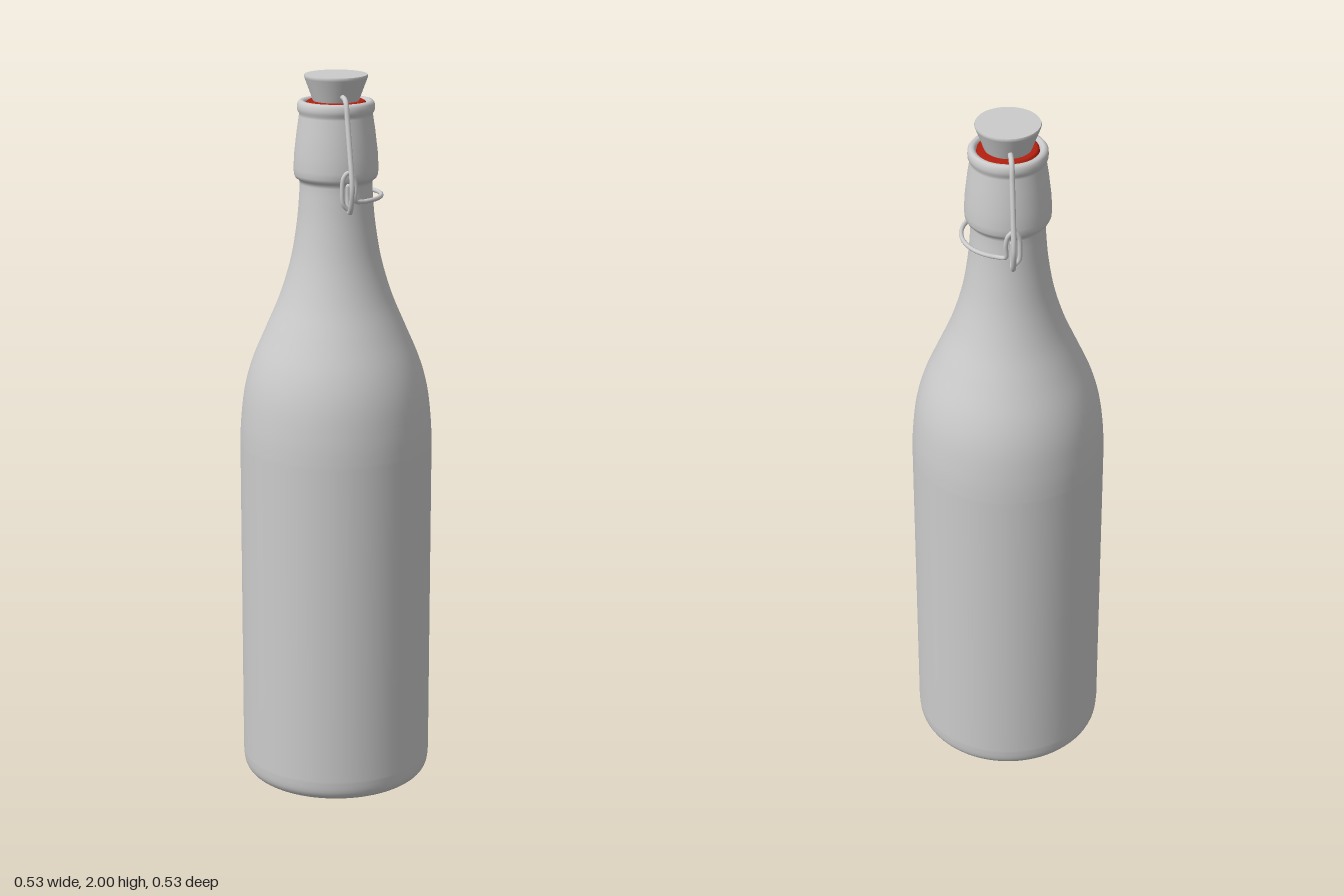
import * as THREE from 'three';

const grey = new THREE.MeshStandardMaterial({ color: 0xcccccc });
const red = new THREE.MeshStandardMaterial({ color: 0xb3200f });

const v2 = (pairs) => pairs.map(([r, y]) => new THREE.Vector2(r, y));
const smooth = (pairs, n) => new THREE.SplineCurve(v2(pairs)).getPoints(n);

function addMesh(parent, name, geometry, material = grey) {
  const mesh = new THREE.Mesh(geometry, material);
  mesh.name = name;
  parent.add(mesh);
  return mesh;
}

// Round wire with domed ends, following a smooth path
function addWire(parent, name, points, radius, segments) {
  const curve = new THREE.CatmullRomCurve3(points, false, 'centripetal');
  addMesh(parent, name, new THREE.TubeGeometry(curve, segments, radius, 10));
  for (const end of [points[0], points[points.length - 1]]) {
    addMesh(parent, name + 'End', new THREE.SphereGeometry(radius, 10, 8)).position.copy(end);
  }
}

export function createModel() {
  const model = new THREE.Group();
  model.name = 'swingTopBottle';

  // Glass: hollowed base, straight body, shoulder, neck, collar and open mouth
  const base = smooth([[0, 0.07], [0.07, 0.056], [0.13, 0.018], [0.17, 0.001], [0.2, 0.001],
    [0.24, 0.01], [0.26, 0.032], [0.265, 0.07]], 32);
  const shoulder = smooth([[0.265, 0.98], [0.262, 1.05], [0.251, 1.14], [0.229, 1.22], [0.191, 1.31],
    [0.153, 1.4], [0.123, 1.5], [0.106, 1.6], [0.099, 1.68], [0.098, 1.712]], 40);
  const collar = v2([[0.101, 1.719], [0.109, 1.724], [0.113, 1.733], [0.114, 1.75], [0.112, 1.79],
    [0.105, 1.85], [0.099, 1.89], [0.099, 1.897], [0.103, 1.903], [0.104, 1.912], [0.103, 1.923],
    [0.098, 1.93], [0.09, 1.931], [0.083, 1.926], [0.081, 1.915], [0.08, 1.72]]);
  const profile = [...base, ...v2([[0.265, 0.3], [0.265, 0.65]]), ...shoulder, ...collar];
  profile[0].x = 0;
  addMesh(model, 'bottle', new THREE.LatheGeometry(profile, 72));

  // Rubber seal sitting in the mouth
  addMesh(model, 'seal', new THREE.LatheGeometry(
    v2([[0, 1.9], [0.08, 1.9], [0.082, 1.915], [0.08, 1.926], [0.074, 1.93], [0, 1.93]]), 48), red);

  // Flared stopper with a slightly rounded top edge
  const stopper = new THREE.Group();
  stopper.name = 'stopper';
  model.add(stopper);
  addMesh(stopper, 'stopperSide', new THREE.LatheGeometry(
    v2([[0.06, 1.925], [0.064, 1.935], [0.069, 1.95], [0.084, 1.99], [0.0855, 1.995], [0.084, 1.999]]), 48));
  const cap = addMesh(stopper, 'stopperTop', new THREE.CircleGeometry(0.084, 48));
  cap.rotation.x = -Math.PI / 2;
  cap.position.y = 1.999;

  // Wire closure, turned a little around the neck
  const closure = new THREE.Group();
  closure.name = 'wireClosure';
  closure.rotation.y = -0.37;
  model.add(closure);

  // Bail: through the stopper, down both sides, hooked at the ends
  const side = [[0.06, 1.947, 0], [0.093, 1.943, 0], [0.106, 1.93, 0], [0.118, 1.89, 0],
    [0.143, 1.81, 0], [0.164, 1.735, 0], [0.165, 1.705, 0], [0.152, 1.665, 0], [0.14, 1.652, 0],
    [0.128, 1.662, 0], [0.124, 1.69, 0], [0.126, 1.72, 0]];
  const half = (list, s) => list.map(([x, y, z]) => new THREE.Vector3(s * x, y, z));
  addWire(closure, 'bail', [...half(side, -1).reverse(), ...half(side, 1)], 0.007, 160);

  // Neck wire: an open ring behind the neck with an upright eyelet at each end
  const eyelet = [[0.13, 1.682, -0.018], [0.134, 1.72, -0.018], [0.135, 1.747, -0.012],
    [0.135, 1.758, 0.002], [0.135, 1.745, 0.015], [0.135, 1.71, 0.019], [0.135, 1.675, 0.016],
    [0.134, 1.66, 0.004]];
  const ring = [];
  for (let i = 0; i <= 16; i++) {
    const a = 0.36 + (Math.PI - 0.72) * i / 16;
    ring.push(new THREE.Vector3(-0.122 * Math.cos(a), 1.675, -0.122 * Math.sin(a)));
  }
  addWire(closure, 'neckWire', [...half(eyelet, -1).reverse(), ...ring, ...half(eyelet, 1)], 0.006, 180);

  return model;
}
